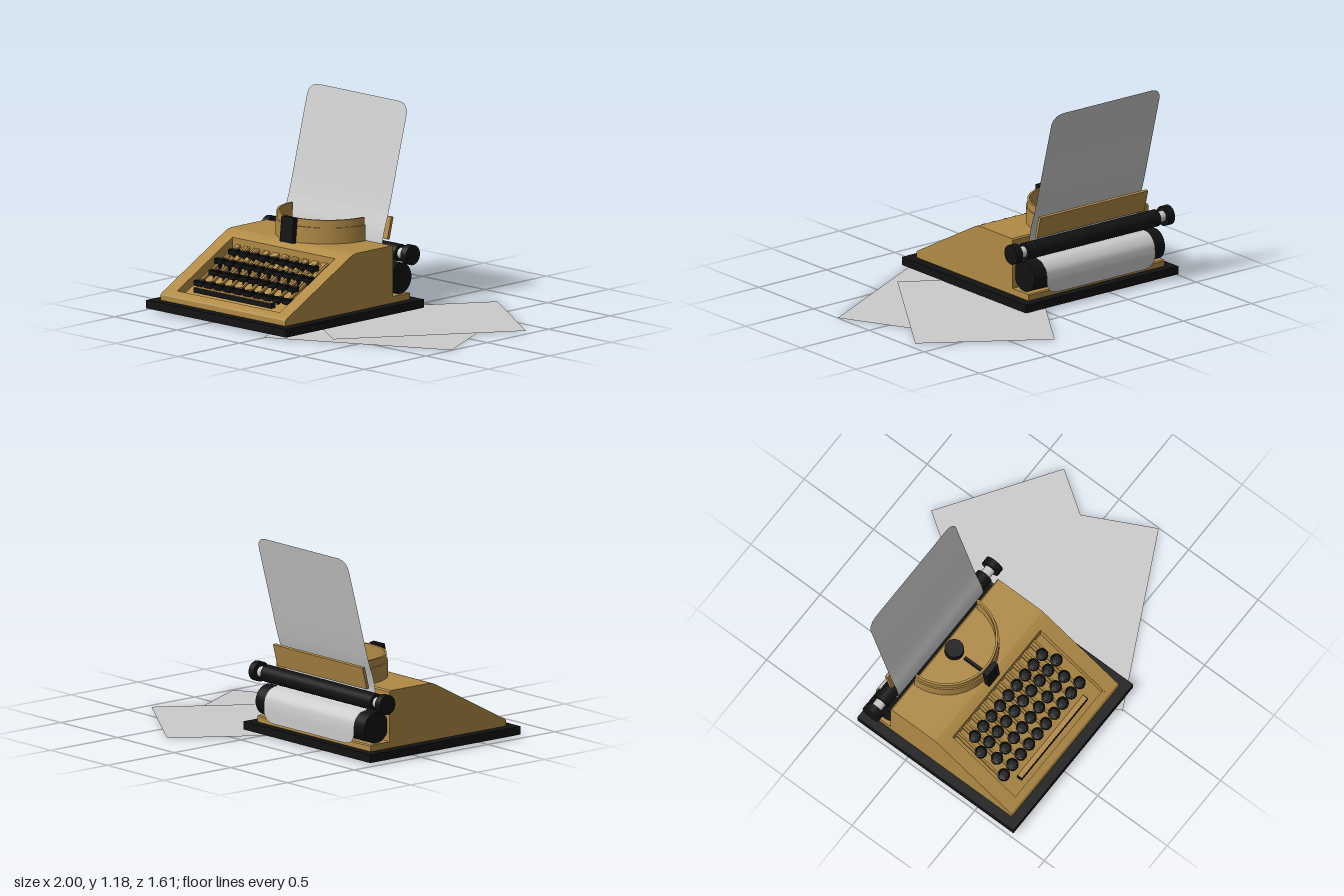
import * as THREE from 'three';
import { toCreasedNormals } from 'three/addons/utils/BufferGeometryUtils.js';

const mat = (color, side = THREE.FrontSide) => new THREE.MeshStandardMaterial({ color, side });
const gold = mat(0xb08a45);
const black = mat(0x121212);
const grey = mat(0xcccccc);
const paperMat = mat(0xcccccc, THREE.DoubleSide);
const CX = -0.42; // centre line of the machine
const SLOPE = 0.541; // rise of the keyboard slope
const slopeY = (z) => 0.1 + (0.705 - z) * SLOPE;

export function createModel() {
  const model = new THREE.Group();

  function add(name, geometry, material, x = 0, y = 0, z = 0, parent = model) {
    const mesh = new THREE.Mesh(geometry, material);
    mesh.name = name;
    mesh.position.set(x, y, z);
    parent.add(mesh);
    return mesh;
  }
  const box = (name, w, h, d, material, x, y, z, parent) =>
    add(name, new THREE.BoxGeometry(w, h, d), material, x, y, z, parent);
  // Side profile of [z, y] points, extruded from x0 to x1
  function profile(name, points, x0, x1, material) {
    const shape = new THREE.Shape(points.map(([z, y]) => new THREE.Vector2(-z, y)));
    const geometry = new THREE.ExtrudeGeometry(shape, { depth: x1 - x0, bevelEnabled: false });
    return add(name, geometry.rotateY(Math.PI / 2), material, x0);
  }
  // Cylinder lying along x
  const roller = (name, r, x0, x1, y, z, material) =>
    add(name, new THREE.CylinderGeometry(r, r, x1 - x0, 40).rotateZ(Math.PI / 2), material, (x0 + x1) / 2, y, z);

  // Base plate
  box('base', 1.12, 0.048, 1.125, black, CX, 0.04, 0.2);

  // Body: two solid cheeks and a centre section with the keyboard well
  const back = [[0.18, 0.385], [0.155, 0.396], [0.13, 0.4], [-0.16, 0.4], [-0.168, 0.392],
    [-0.168, 0.102], [-0.305, 0.102], [-0.31, 0.095], [-0.31, 0.06]];
  const front = [[0.705, 0.06], [0.705, 0.094], [0.699, 0.104]];
  const well = [[0.66, 0.124], [0.66, 0.07], [0.21, slopeY(0.21) - 0.065], [0.21, slopeY(0.21)]];
  profile('rightCheek', [...front, ...back], -0.92, -0.83, gold);
  profile('leftCheek', [...front, ...back], -0.01, 0.08, gold);
  profile('bodyCentre', [...front, ...well, ...back], -0.83, -0.01, gold);

  // Keys in staggered rows, each with a lever running back under the slope
  const keyGeometry = toCreasedNormals(new THREE.LatheGeometry(
    [[0, 0], [0.034, 0], [0.035, 0.004], [0.035, 0.026], [0.029, 0.028], [0.026, 0.022], [0, 0.02]]
      .map(([x, y]) => new THREE.Vector2(x, y)), 24), 0.6);
  const keyboard = new THREE.Group();
  keyboard.name = 'keyboard';
  model.add(keyboard);
  const rows = [[0.535, 10, 0.147], [0.455, 9, 0.202], [0.37, 10, 0.25], [0.295, 9, 0.297]];
  rows.forEach(([z, count, y], row) => {
    for (let i = 0; i < count; i++) {
      const x = CX + (i - (count - 1) / 2) * 0.0785;
      add('key', keyGeometry, black, x, y, z, keyboard);
      box('keyStem', 0.014, 0.04, 0.014, black, x, y - 0.015, z, keyboard);
      const length = z - 0.2;
      const lx = x + (row % 2 ? 0.01 : -0.01) + (row > 1 ? 0.008 : -0.008);
      const lever = box('keyLever', 0.014, 0.014, length * 1.137, gold, lx,
        slopeY(z - length / 2) - 0.045, z - length / 2, keyboard);
      lever.rotation.x = Math.atan(SLOPE);
    }
  });

  // Space bar with a gold top plate
  box('spaceBar', 0.62, 0.03, 0.034, black, CX, 0.14, 0.612);
  box('spaceBarPlate', 0.61, 0.003, 0.03, gold, CX, 0.1555, 0.612);

  // Half-round cover around the type basket
  function halfRing(name, outer, inner, y, height) {
    const shape = new THREE.Shape();
    shape.absarc(0, 0, outer, Math.PI, Math.PI * 2, false);
    shape.absarc(0, 0, inner, Math.PI * 2, Math.PI, true);
    const geometry = new THREE.ExtrudeGeometry(shape, { depth: height, bevelEnabled: false, curveSegments: 40 });
    add(name, toCreasedNormals(geometry.rotateX(-Math.PI / 2), 0.6), gold, CX, y, -0.15);
  }
  halfRing('basketCover', 0.301, 0.283, 0.39, 0.103);
  halfRing('basketRim', 0.293, 0.28, 0.493, 0.044);

  // Type hub, type arm and the front catch
  add('typeHub', new THREE.CylinderGeometry(0.055, 0.055, 0.05, 32), black, CX, 0.425, -0.095);
  box('typeArm', 0.016, 0.03, 0.145, black, CX, 0.415, 0.055);
  const catchPlate = box('frontCatch', 0.098, 0.148, 0.032, black, CX, 0.47, 0.172);
  catchPlate.rotation.x = -0.1;

  // Rollers, with knobs on the upper one
  roller('lowerRoller', 0.09, -0.9, 0.06, 0.192, -0.25, black);
  roller('upperRoller', 0.05, -0.905, 0.065, 0.342, -0.25, black);
  roller('rollerShaft', 0.032, -0.97, 0.13, 0.342, -0.25, grey);
  for (const side of [-1, 1]) {
    const x = CX + side * 0.558;
    roller('rollerKnob', 0.058, x - 0.022, x + 0.022, 0.342, -0.25, black);
  }

  // Paper rest behind the sheet
  profile('paperRest', [[-0.235, 0.408], [-0.268, 0.536], [-0.286, 0.532], [-0.253, 0.403]], -0.82, -0.03, gold);

  // Sheet in the machine: a strip along a curve, narrowing at its rounded ends
  const path = new THREE.CatmullRomCurve3([
    [1.18, -0.405], [0.88, -0.325], [0.58, -0.245], [0.45, -0.203], [0.37, -0.19], [0.31, -0.205],
    [0.287, -0.25], [0.273, -0.302], [0.235, -0.339], [0.19, -0.349], [0.09, -0.349],
  ].map(([y, z]) => new THREE.Vector3(CX - 0.003, y, z)), false, 'centripetal');
  const length = path.getLength();
  const steps = 160;
  const radius = 0.07;
  const positions = [];
  const indices = [];
  for (let i = 0; i <= steps; i++) {
    const p = path.getPointAt(i / steps);
    const fromEnd = Math.min(i, steps - i) / steps * length;
    const d = Math.max(0, radius - fromEnd);
    const half = 0.398 - radius + Math.sqrt(radius * radius - d * d);
    positions.push(p.x - half, p.y, p.z, p.x + half, p.y, p.z);
    if (i < steps) {
      const a = i * 2;
      indices.push(a, a + 2, a + 1, a + 1, a + 2, a + 3);
    }
  }
  const sheet = new THREE.BufferGeometry();
  sheet.setAttribute('position', new THREE.Float32BufferAttribute(positions, 3));
  sheet.setIndex(indices);
  sheet.computeVertexNormals();
  add('typedSheet', sheet, paperMat);

  // Two loose sheets lying under the machine
  for (const [x, y, z, turn] of [[0.3085, 0.005, -0.1175, -0.59], [0.315, 0.0, 0.186, -1.098]]) {
    const loose = add('looseSheet', new THREE.PlaneGeometry(0.8, 1.125).rotateX(-Math.PI / 2), paperMat, x, y, z);
    loose.rotation.y = turn;
  }
  return model;
}
